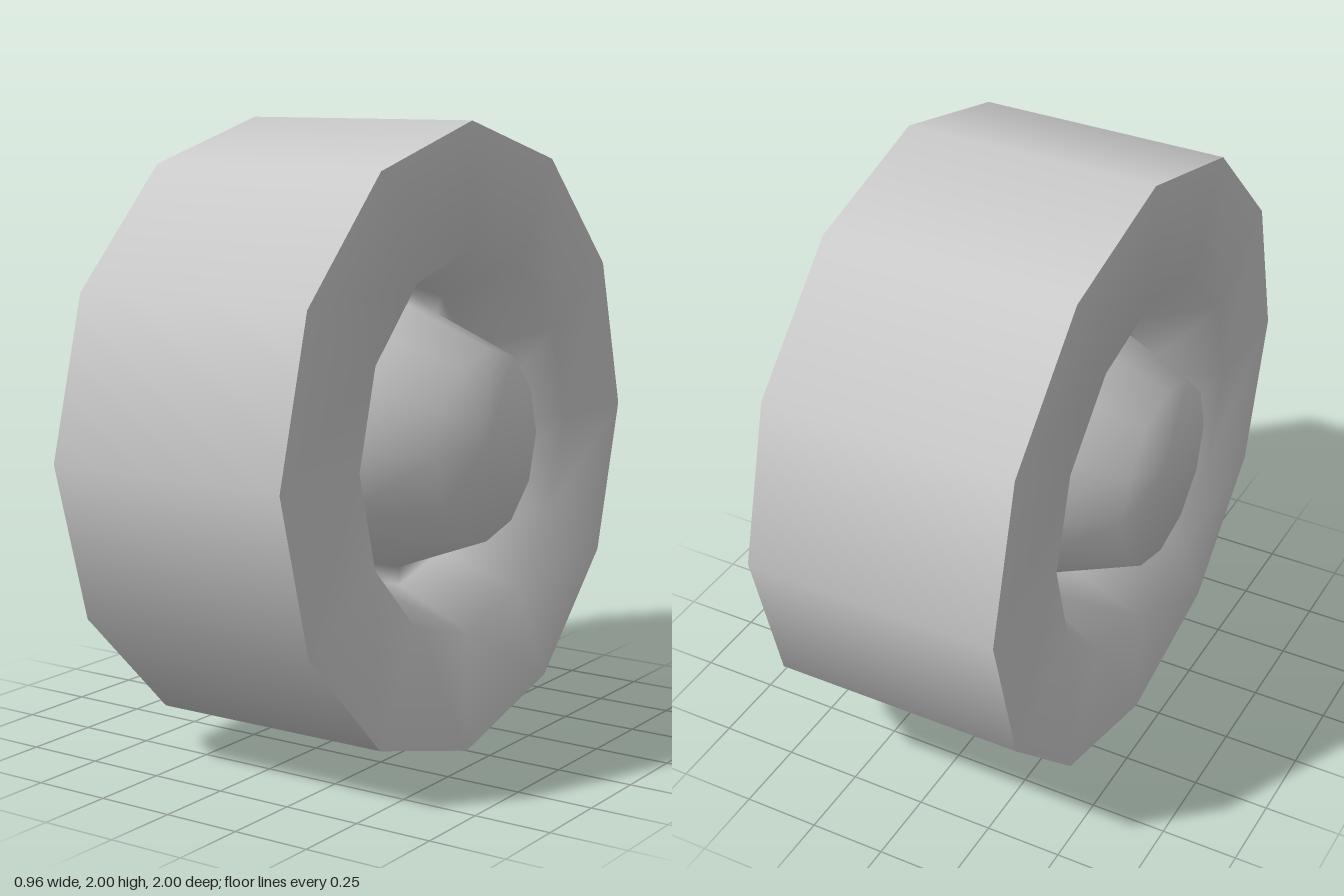
import * as THREE from 'three';

const SIDES = 12;
const HALF_WIDTH = 0.415;

// Radius and distance from the mid-plane, from the outer edge to the hub centre
const FACE_PROFILE = [
  [1.0, HALF_WIDTH],   // outer edge
  [0.61, HALF_WIDTH],  // lip of the recess
  [0.49, 0.155],       // outer edge of the groove floor
  [0.43, 0.155],       // foot of the hub
  [0.305, 0.48],       // hub shoulder
  [0, 0.48],           // hub centre
].map(([r, h]) => new THREE.Vector2(r, h));

export function createModel() {
  const wheel = new THREE.Group();
  wheel.name = 'wheel';
  const material = new THREE.MeshStandardMaterial({ color: 0xcccccc });

  // Tread: smooth twelve-sided band
  const treadGeometry = new THREE.CylinderGeometry(1, 1, HALF_WIDTH * 2, SIDES, 1, true);
  const tread = new THREE.Mesh(treadGeometry, material);
  tread.name = 'tread';
  tread.rotation.z = Math.PI / 2;
  wheel.add(tread);

  // Side faces: flat wall, recessed groove and tapered hub
  const faceGeometry = new THREE.LatheGeometry(FACE_PROFILE, SIDES);
  for (const [name, side] of [['leftFace', 1], ['rightFace', -1]]) {
    const face = new THREE.Mesh(faceGeometry, material);
    face.name = name;
    face.rotation.z = -side * Math.PI / 2;
    wheel.add(face);
  }

  wheel.position.y = 1;
  const model = new THREE.Group();
  model.name = 'wheelModel';
  model.add(wheel);
  return model;
}
